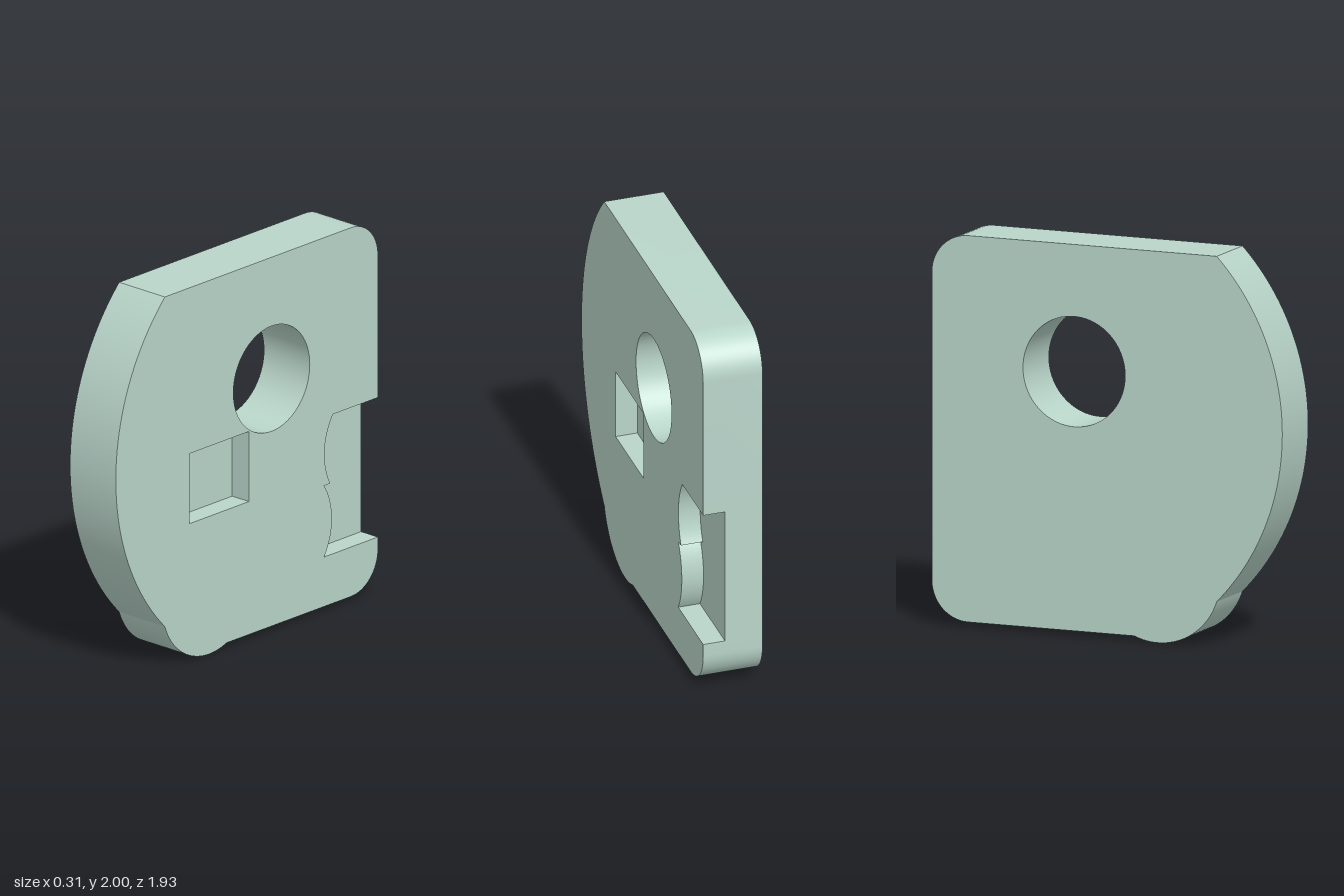
import * as THREE from 'three';
import { mergeGeometries, toCreasedNormals } from 'three/addons/utils/BufferGeometryUtils.js';

const BACK = -0.157, FACE = 0.157, FLOOR = 0.042; // depths of both faces and of the recess floors
const P = (u, v) => new THREE.Vector2(u, v);      // profile plane: u = -z, v = y

// Points along the circular arc from a through b to c
function arc(a, b, c, n) {
  const d = 2 * (a.x * (b.y - c.y) + b.x * (c.y - a.y) + c.x * (a.y - b.y));
  const [A, B, C] = [a, b, c].map((p) => p.lengthSq());
  const m = P((A * (b.y - c.y) + B * (c.y - a.y) + C * (a.y - b.y)) / d,
    (A * (c.x - b.x) + B * (a.x - c.x) + C * (b.x - a.x)) / d);
  const r = m.distanceTo(a);
  const ang = (p) => Math.atan2(p.y - m.y, p.x - m.x);
  const turn = Math.PI * 2, mod = (t) => ((t % turn) + turn) % turn;
  const start = ang(a);
  let sweep = mod(ang(c) - start);
  if (mod(ang(b) - start) > sweep) sweep -= turn;
  return Array.from({ length: n + 1 }, (_, i) => {
    const t = start + sweep * i / n;
    return P(m.x + r * Math.cos(t), m.y + r * Math.sin(t));
  });
}

// Rounded corner, a quarter turn about (u, v)
function corner(u, v, r, from) {
  return Array.from({ length: 17 }, (_, i) => {
    const t = from + i / 16 * Math.PI / 2;
    return P(u + r * Math.cos(t), v + r * Math.sin(t));
  });
}

// Flat face with optional holes at depth w
function cap(points, w, holes = [], flip = false) {
  const shape = new THREE.Shape(points);
  shape.holes = holes.map((h) => new THREE.Path(h));
  const g = new THREE.ShapeGeometry(shape);
  if (flip) g.index.array.reverse();
  g.translate(0, 0, w);
  const flat = g.toNonIndexed();
  flat.deleteAttribute('uv');
  flat.deleteAttribute('normal');
  return flat;
}

// Side wall along a path with the solid on its left
function wall(points, w0, w1, closed = false) {
  const pos = [];
  const path = closed ? [...points, points[0]] : points;
  for (let i = 0; i < path.length - 1; i++) {
    const p = path[i], q = path[i + 1];
    pos.push(p.x, p.y, w0, q.x, q.y, w0, q.x, q.y, w1);
    pos.push(p.x, p.y, w0, q.x, q.y, w1, p.x, p.y, w1);
  }
  return new THREE.BufferGeometry().setAttribute('position', new THREE.Float32BufferAttribute(pos, 3));
}

export function createModel() {
  const model = new THREE.Group();
  const material = new THREE.MeshStandardMaterial({ color: 0xb9d5ca });
  const add = (name, parts) => {
    const g = toCreasedNormals(mergeGeometries(parts), 0.4);
    g.rotateY(Math.PI / 2);
    const mesh = new THREE.Mesh(g, material);
    mesh.name = name;
    model.add(mesh);
  };

  // Outline, counter-clockwise from the top of the notch to its bottom
  const outline = [
    P(0.967, 1.037),
    ...corner(0.767, 1.8, 0.2, 0),
    ...arc(P(-0.605, 2), P(-0.967, 1.117), P(-0.605, 0.235), 64), // bowed front
    ...arc(P(-0.605, 0.235), P(-0.28, 0), P(-0.15, 0.025), 32).slice(1), // bottom lobe
    ...corner(0.767, 0.225, 0.2, -Math.PI / 2),
    P(0.967, 0.29),
  ];

  // Notch in the rear edge, with two scalloped arcs
  const notch = [
    P(0.967, 0.29),
    ...arc(P(0.57, 0.29), P(0.627, 0.48), P(0.57, 0.672), 20),
    ...arc(P(0.615, 0.672), P(0.573, 0.84), P(0.635, 1.037), 20),
    P(0.967, 1.037),
  ];

  // Clockwise openings
  const hole = Array.from({ length: 72 }, (_, i) => {
    const t = -i / 72 * Math.PI * 2;
    return P(0.182 + 0.282 * Math.cos(t), 1.35 + 0.282 * Math.sin(t));
  });
  const pocket = [P(-0.425, 0.737), P(-0.425, 1.112), P(0.015, 1.112), P(0.015, 0.737)];

  add('plate', [
    cap(outline, BACK, [hole], true),
    cap([...outline, ...notch.slice(1, -1)], FACE, [hole, pocket]),
    wall(outline, BACK, FACE),
    wall([P(0.967, 0.29), P(0.967, 1.037)], BACK, FLOOR), // edge behind the notch
  ]);
  add('roundHole', [wall(hole, BACK, FACE, true)]);
  add('rectangularPocket', [cap(pocket, FLOOR), wall(pocket, FLOOR, FACE, true)]);
  add('rearNotch', [cap(notch, FLOOR), wall(notch, FLOOR, FACE)]);
  return model;
}
